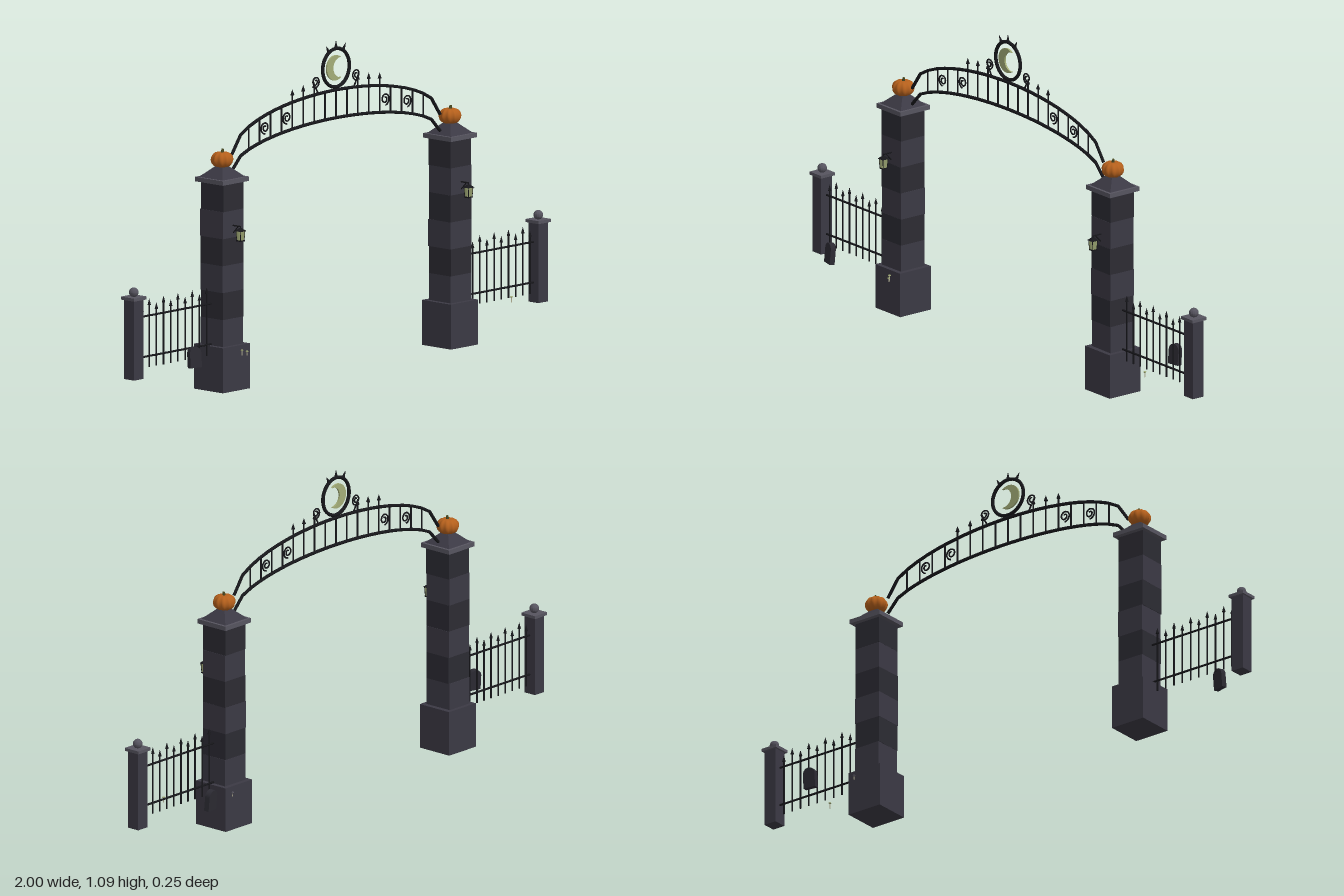
import * as THREE from 'three';

const paint = (color) => new THREE.MeshStandardMaterial({ color });
const MAT = {
  stone: paint(0x3b3944), dark: paint(0x2c2b33), trim: paint(0x56545f), iron: paint(0x17171b),
  pumpkin: paint(0xb5601c), stem: paint(0x4a4a22), glow: paint(0xa3ad78), pale: paint(0xb9b59a),
};
for (const k of ['stone', 'dark', 'trim']) MAT[k].flatShading = true;
MAT.glow.side = THREE.DoubleSide;

let seed = 7;
const rnd = (a) => ((seed = (seed * 16807) % 2147483647) / 2147483647 - 0.5) * 2 * a;
const V = (x, y, z = 0) => new THREE.Vector3(x, y, z);

function add(parent, name, geo, mat, x = 0, y = 0, z = 0) {
  const m = new THREE.Mesh(geo, mat);
  m.name = name;
  m.position.set(x, y, z);
  parent.add(m);
  return m;
}

function group(parent, name, x = 0, y = 0, z = 0) {
  const g = new THREE.Group();
  g.name = name;
  g.position.set(x, y, z);
  parent.add(g);
  return g;
}

// Straight round bar between two points
function rod(parent, name, a, b, r, r2 = r, mat = MAT.iron) {
  const d = b.clone().sub(a);
  const m = add(parent, name, new THREE.CylinderGeometry(r2, r, d.length(), 6), mat);
  m.position.copy(a).addScaledVector(d, 0.5);
  m.quaternion.setFromUnitVectors(V(0, 1), d.normalize());
  return m;
}

const box = (w, h, d) => new THREE.BoxGeometry(w, h, d);
// Four-sided tapered block, sized by its square widths
const frustum = (top, bottom, h) =>
  new THREE.CylinderGeometry(top / Math.SQRT2, bottom / Math.SQRT2, h, 4).rotateY(Math.PI / 4);

// Flat spiral of wrought iron
function scroll(parent, x, y, r, side) {
  const pts = [];
  for (let i = 0; i <= 24; i++) {
    const a = (i / 24) * Math.PI * 3.2, q = r * (1 - 0.75 * i / 24);
    pts.push(V(side * Math.cos(a - Math.PI / 2) * q, Math.sin(a - Math.PI / 2) * q));
  }
  add(parent, 'scroll', new THREE.TubeGeometry(new THREE.CatmullRomCurve3(pts), 40, 0.0028, 5), MAT.iron, x, y);
}

// Ribbed squash with a bent stem
function pumpkin(parent, y) {
  const g = group(parent, 'pumpkin', 0, y);
  const geo = new THREE.SphereGeometry(1, 40, 14);
  const p = geo.attributes.position;
  for (let i = 0; i < p.count; i++) {
    const px = p.getX(i), py = p.getY(i), pz = p.getZ(i);
    const rib = 0.86 + 0.14 * Math.abs(Math.cos(Math.atan2(pz, px) * 5));
    const dent = 1 - 0.2 * Math.pow(Math.abs(py), 6);
    p.setXYZ(i, px * rib * 0.038, py * dent * 0.03, pz * rib * 0.038);
  }
  geo.computeVertexNormals();
  add(g, 'pumpkinBody', geo, MAT.pumpkin);
  rod(g, 'pumpkinStem', V(0, 0.02), V(0.004, 0.035), 0.006, 0.004, MAT.stem);
}

function lantern(parent) {
  const g = group(parent, 'lantern', 0, 0, 0.05);
  rod(g, 'bracketArm', V(0, 0.55, -0.003), V(0, 0.55, 0.034), 0.0025);
  rod(g, 'bracketBrace', V(0, 0.525, 0), V(0, 0.548, 0.022), 0.002);
  rod(g, 'hook', V(0, 0.55, 0.033), V(0, 0.538, 0.033), 0.002);
  add(g, 'lanternRoof', frustum(0.006, 0.028, 0.01), MAT.iron, 0, 0.54, 0.033);
  add(g, 'lanternGlass', frustum(0.021, 0.017, 0.03), MAT.glow, 0, 0.52, 0.033);
  add(g, 'lanternBase', box(0.02, 0.004, 0.02), MAT.iron, 0, 0.503, 0.033);
  for (const sx of [-1, 1]) for (const sz of [-1, 1])
    rod(g, 'lanternFrame', V(sx * 0.0085, 0.505, 0.033 + sz * 0.0085), V(sx * 0.0105, 0.536, 0.033 + sz * 0.0105), 0.0013);
}

function pillar(parent, x) {
  const g = group(parent, 'pillar', x);
  add(g, 'pillarBase', box(0.13, 0.15, 0.13), MAT.stone, 0, 0.075);
  // Uneven stone courses
  for (let i = 0; i < 6; i++) {
    const b = add(g, 'stoneCourse', box(0.099 + rnd(0.002), 0.09, 0.099 + rnd(0.002)),
      i % 2 ? MAT.dark : MAT.stone, rnd(0.001), 0.195 + i * 0.09, rnd(0.001));
    b.rotation.y = rnd(0.02);
  }
  add(g, 'capSlab', box(0.125, 0.015, 0.125), MAT.trim, 0, 0.699);
  add(g, 'capSlope', frustum(0.035, 0.108, 0.034), MAT.stone, 0, 0.723);
  pumpkin(g, 0.764);
  lantern(g);
}

function fence(parent, s) {
  const g = group(parent, 'sideFence');
  for (const y of [0.155, 0.29]) rod(g, 'fenceRail', V(s * 0.6, y), V(s * 0.95, y), 0.0035);
  for (let i = 0; i < 10; i++) {
    const x = s * (0.622 + i * 0.0345), top = i % 2 ? 0.308 : 0.325;
    rod(g, 'picket', V(x, 0.118), V(x, top), 0.0028);
    add(g, 'picketSpike', new THREE.ConeGeometry(0.006, 0.022, 6), MAT.iron, x, top + 0.011);
  }
  const p = group(g, 'endPost', s * 0.972);
  add(p, 'postShaft', box(0.046, 0.266, 0.046), MAT.stone, 0, 0.221);
  add(p, 'postCap', box(0.06, 0.01, 0.06), MAT.trim, 0, 0.358);
  add(p, 'postBall', new THREE.SphereGeometry(0.016, 14, 10), MAT.trim, 0, 0.377);
}

function arch(parent) {
  const g = group(parent, 'arch');
  const oval = (x) => Math.sqrt(Math.max(0, 1 - (x / 0.5) ** 2));
  const low = (x) => 0.72 + 0.11 * oval(x), high = (x) => 0.775 + 0.148 * oval(x);
  const n = 24;
  for (const f of [low, high]) for (let i = 0; i < n; i++) {
    const a = -0.5 + i / n, b = a + 1 / n;
    rod(g, 'archRail', V(a, f(a)), V(b, f(b)), 0.0055);
    add(g, 'archJoint', new THREE.SphereGeometry(0.0055, 6, 4), MAT.iron, a, f(a));
  }
  for (let i = -8; i <= 8; i++) {
    const x = i * 0.0525, k = Math.abs(i), tip = k >= 2 && k <= 4;
    const top = high(x) + (tip ? 0.025 : 0);
    rod(g, 'archBar', V(x, low(x)), V(x, top), 0.003);
    if (tip) add(g, 'archSpike', new THREE.ConeGeometry(0.007, 0.02, 6), MAT.iron, x, top + 0.009);
  }
  for (const s of [-1, 1]) {
    for (const x of [0.236, 0.341]) scroll(g, s * x, (low(x) + high(x)) / 2, 0.021, s);
    scroll(g, s * 0.098, 0.962, 0.019, -s);
    rod(g, 'scrollStem', V(s * 0.085, high(0.085)), V(s * 0.098, 0.943), 0.0028);
  }
  // Moon medallion
  const m = group(g, 'moonMedallion', 0, 0.997);
  add(m, 'medallionRing', new THREE.TorusGeometry(0.064, 0.006, 8, 40), MAT.iron);
  const c = new THREE.Shape();
  c.absarc(0, 0, 0.042, 0.9, Math.PI * 2 - 0.9, false);
  const tx = 0.042 * Math.cos(0.9), ty = 0.042 * Math.sin(0.9);
  const cx = 0.022, r = Math.hypot(tx - cx, ty), a = Math.atan2(ty, tx - cx);
  c.absarc(cx, 0, r, Math.PI * 2 - a, a, true);
  const moon = new THREE.ExtrudeGeometry(c, { depth: 0.006, bevelEnabled: false, curveSegments: 24 });
  add(m, 'crescent', moon.translate(-0.004, 0, -0.003), MAT.glow);
  for (const t of [-0.55, 0, 0.55]) {
    const d = V(Math.sin(t), Math.cos(t));
    rod(m, 'medallionSpike', d.clone().multiplyScalar(0.066), d.clone().multiplyScalar(0.09), 0.006, 0.0005);
  }
}

function gravestone(parent, x, z, yaw) {
  const s = new THREE.Shape();
  s.moveTo(-0.022, 0);
  s.lineTo(0.022, 0);
  s.lineTo(0.022, 0.048);
  s.absarc(0, 0.048, 0.022, 0, Math.PI, false);
  const geo = new THREE.ExtrudeGeometry(s, { depth: 0.018, bevelEnabled: false, curveSegments: 8 });
  const m = add(parent, 'gravestone', geo.translate(0, 0, -0.009), MAT.dark, x, 0.116, z);
  m.rotation.set(-0.09, yaw, 0, 'YXZ');
}

function mushroom(parent, x, z, h, mat) {
  const g = group(parent, 'mushroom', x, 0.117, z);
  rod(g, 'mushroomStem', V(0, 0), V(0, h), 0.0018, 0.0014, MAT.pale);
  add(g, 'mushroomCap', new THREE.SphereGeometry(0.005, 8, 5), mat, 0, h).scale.y = 0.6;
}

export function createModel() {
  const root = new THREE.Group();
  root.name = 'graveyardGate';
  for (const s of [-1, 1]) {
    pillar(root, s * 0.548);
    fence(root, s);
  }
  arch(root);
  gravestone(root, -0.797, 0.111, -0.25);
  gravestone(root, 0.737, -0.108, 0.13);
  mushroom(root, -0.518, 0.085, 0.013, MAT.glow);
  mushroom(root, -0.53, 0.073, 0.017, MAT.glow);
  mushroom(root, 0.784, 0.055, 0.018, MAT.glow);
  mushroom(root, 0.585, -0.071, 0.014, MAT.trim);
  return root;
}
